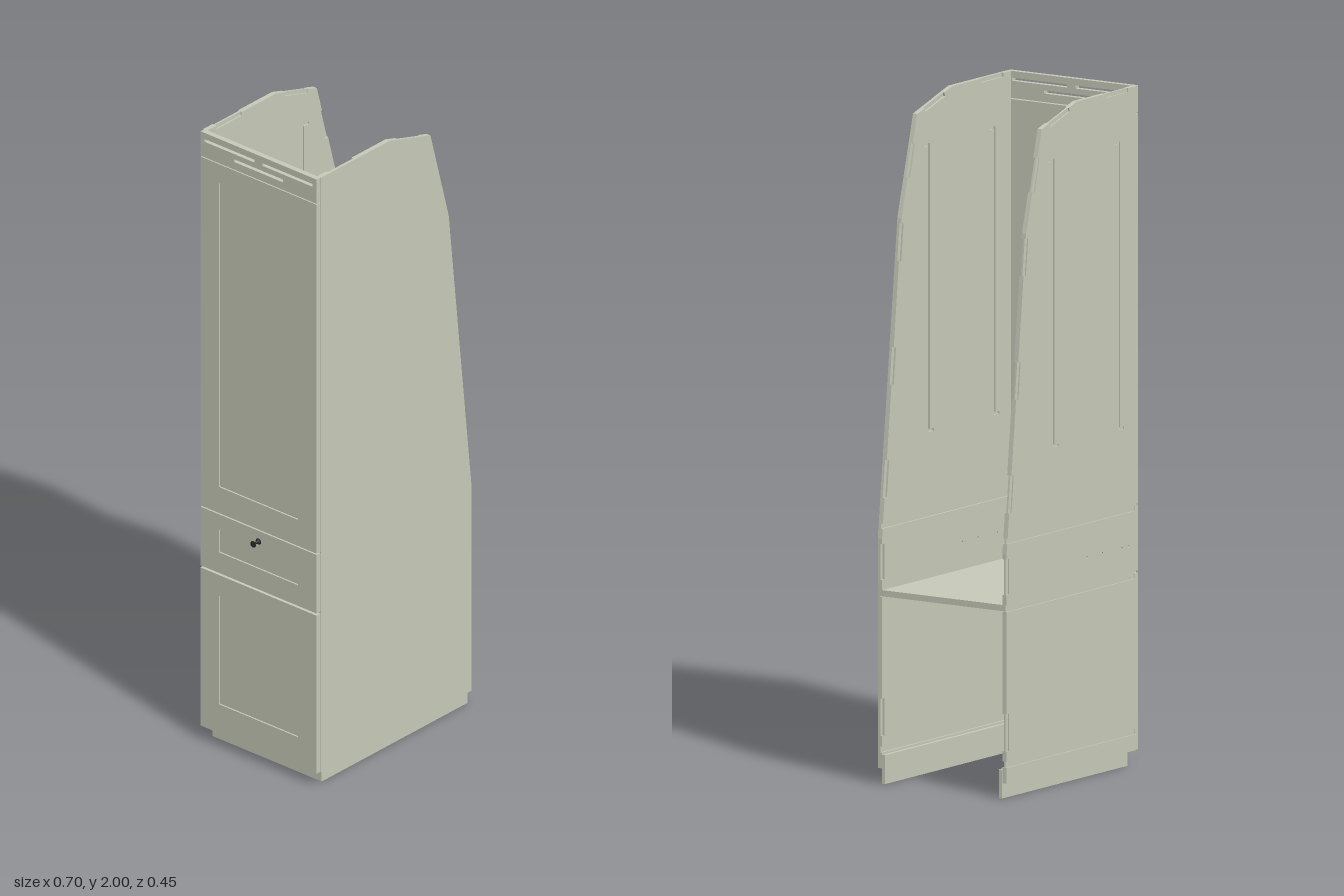
import * as THREE from 'three';

const paint = new THREE.MeshStandardMaterial({ color: 0xc6c9b8 });
const black = new THREE.MeshStandardMaterial({ color: 0x2a2a2c });

// Closed outline helpers
const poly = (pts, Type = THREE.Shape) => new Type(pts.map(([x, y]) => new THREE.Vector2(x, y)));
const rect = (x0, x1, y0, y1) => [[x0, y0], [x1, y0], [x1, y1], [x0, y1]];

function add(parent, name, geometry, material = paint) {
  const mesh = new THREE.Mesh(geometry, material);
  mesh.name = name;
  parent.add(mesh);
  return mesh;
}

function box(parent, name, [x0, x1], [y0, y1], [z0, z1], material) {
  const geo = new THREE.BoxGeometry(x1 - x0, y1 - y0, z1 - z0);
  geo.translate((x0 + x1) / 2, (y0 + y1) / 2, (z0 + z1) / 2);
  return add(parent, name, geo, material);
}

const slab = (shapes, depth) => new THREE.ExtrudeGeometry(shapes, { depth, bevelEnabled: false, curveSegments: 8 });

// Edge from a to b (counter-clockwise outline) with shallow pockets; spans are distances along it
function pocketEdge(a, b, spans, depth = 0.012) {
  const length = Math.hypot(b[0] - a[0], b[1] - a[1]);
  const dx = (b[0] - a[0]) / length, dy = (b[1] - a[1]) / length;
  const at = (s, d) => [a[0] + dx * s - dy * d, a[1] + dy * s + dx * d];
  return [a, ...spans.flatMap(([s, e]) => [at(s, 0), at(s, depth), at(e, depth), at(e, 0)])];
}

const X0 = -0.31, X1 = 0.35, BASE = 0.045, TOP = 2;
const PROFILE = [[X0, BASE], [X1, BASE], [X1, 0.72], [0.25, 1.65], [0.17, 1.945], [-0.01, TOP], [X0, TOP]];

// Thin facing of a side panel, split by the shelf grooves, with pockets, slits and screw holes
function facingShapes() {
  const foot = poly(rect(X0, X1, BASE, 0.092));
  const lower = poly([[X0, 0.11], ...pocketEdge([X1, 0.11], [X1, 0.55], [[0.03, 0.14]]), [X1, 0.55], [X0, 0.55]]);
  const middle = poly([[X0, 0.57], ...pocketEdge([X1, 0.57], [X1, 0.72], [[0.03, 0.135]]),
    [X1, 0.72], [0.347, 0.75], [X0, 0.75]]);
  for (const x of [-0.06, -0.14, -0.24, -0.275]) {
    const hole = new THREE.Path();
    hole.absarc(x, 0.65, 0.004, 0, Math.PI * 2, true);
    middle.holes.push(hole);
  }
  const upper = poly([
    [X0, 0.765],
    ...pocketEdge([0.345, 0.765], PROFILE[3], [[0.075, 0.185], [0.405, 0.515], [0.765, 0.875]]),
    ...pocketEdge(PROFILE[3], PROFILE[4], [[0.12, 0.22]]),
    ...pocketEdge(PROFILE[4], PROFILE[5], [[0.04, 0.145]]),
    ...pocketEdge(PROFILE[5], PROFILE[6], [[0.15, 0.26]]),
    PROFILE[6],
  ]);
  const w = 0.004;
  for (const x of [0.11, -0.225]) {
    upper.holes.push(poly([
      [x - w, 1.0 + 2 * w], [x - 0.025, 1.0 + 2 * w], [x - 0.025, 1.0], [x + w, 1.0],
      [x + w, 1.85 - 2 * w], [x + 0.025, 1.85 - 2 * w], [x + 0.025, 1.85], [x - w, 1.85],
    ], THREE.Path));
  }
  return [foot, lower, middle, upper];
}

// Board lying in the door plane: outline in (z, y), outer face towards -x
function doorBoard(parent, name, outline, holes, thickness, x) {
  const shape = poly(outline);
  for (const h of holes) shape.holes.push(poly(h, THREE.Path));
  add(parent, name, slab(shape, thickness).rotateY(-Math.PI / 2).translate(x, 0, 0));
}

// Framed front with a recessed centre
function framedFront(parent, name, y0, y1, p0, p1) {
  const group = new THREE.Group();
  group.name = name;
  const hole = rect(-0.153, 0.153, p0, p1);
  doorBoard(group, name + 'Frame', rect(-0.224, 0.224, y0, y1), [hole], 0.017, X0);
  doorBoard(group, name + 'Panel', hole, [], 0.012, X0);
  parent.add(group);
}

export function createModel() {
  const model = new THREE.Group();
  model.name = 'tallCabinet';

  // Side panels: solid core and grooved facing
  const core = poly(PROFILE);
  const facing = facingShapes();
  const near = new THREE.Group(), far = new THREE.Group();
  near.name = 'frontSidePanel';
  far.name = 'backSidePanel';
  add(near, 'core', slab(core, 0.009)).position.z = 0.217;
  add(near, 'innerFacing', slab(facing, 0.006)).position.z = 0.211;
  add(far, 'core', slab(core, 0.006)).position.z = -0.223;
  add(far, 'innerFacing', slab(facing, 0.005)).position.z = -0.217;
  add(far, 'outerFacing', slab(facing, 0.004)).position.z = -0.227;
  model.add(near, far);

  // Shelf held in the side grooves
  box(model, 'shelf', [X0, X1], [0.552, 0.57], [-0.217, 0.217]);

  // Plinth, open at the back
  for (const s of [-1, 1]) {
    box(model, 'plinthSide', [-0.29, X1], [0, 0.085], s > 0 ? [0.2, 0.211] : [-0.211, -0.2]);
  }
  box(model, 'plinthFront', [-0.29, -0.278], [0, 0.085], [-0.2, 0.2]);

  // Doors and drawer front
  framedFront(model, 'lowerDoor', BASE, 0.565, 0.14, 0.497);
  framedFront(model, 'drawerFront', 0.572, 0.765, 0.64, 0.715);
  framedFront(model, 'upperDoor', 0.769, 1.917, 0.855, 1.855);

  // Vented top rail
  doorBoard(model, 'topRail', rect(-0.224, 0.224, 1.92, TOP), [
    rect(-0.208, -0.015, 1.971, 1.98),
    rect(0.015, 0.208, 1.971, 1.98),
    rect(-0.095, 0.095, 1.945, 1.954),
  ], 0.017, X0);

  // Waisted knob on the drawer
  const profile = [[0, 0], [0.01, 0], [0.003, 0.011], [0.003, 0.014], [0.01, 0.023], [0.01, 0.025], [0, 0.025]];
  const knob = add(model, 'knob', new THREE.LatheGeometry(profile.map(p => new THREE.Vector2(...p)), 20), black);
  knob.rotation.z = Math.PI / 2;
  knob.position.set(-0.327, 0.73, 0);

  // Latch behind the drawer front
  box(model, 'latchBody', [-0.309, -0.288], [0.713, 0.753], [-0.027, 0.027], black);
  box(model, 'latchBolt', [-0.303, -0.294], [0.753, 0.764], [-0.014, 0.014], black);

  return model;
}
